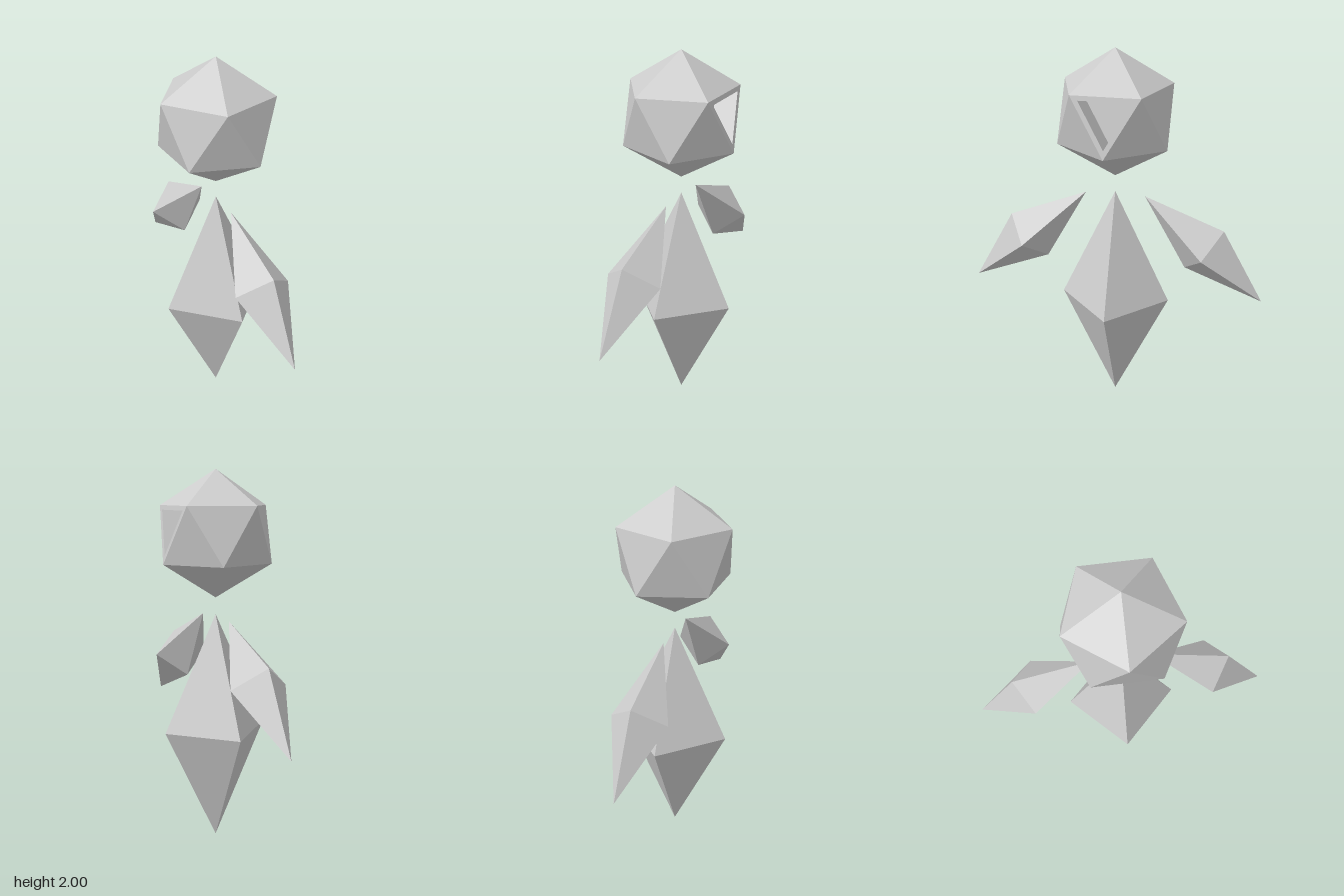
import * as THREE from 'three';

const material = new THREE.MeshStandardMaterial({ color: 0xcccccc, flatShading: true });

function addMesh(parent, name, geometry) {
  const mesh = new THREE.Mesh(geometry, material);
  mesh.name = name;
  parent.add(mesh);
  return mesh;
}

// Stretched octahedron: four-sided double pyramid
function crystal(width, height) {
  return new THREE.OctahedronGeometry(1).scale(width, height, width);
}

// Icosahedron standing on a point, with a triangular pocket in its +x face
function headGeometry(radius, inset, depth) {
  const y = radius / Math.sqrt(5);
  const ring = (height, start) => Array.from({ length: 5 }, (_, i) => {
    const a = start + (i * Math.PI * 2) / 5;
    return new THREE.Vector3(2 * y * Math.cos(a), height, 2 * y * Math.sin(a));
  });
  const upper = ring(y, Math.PI / 5);
  const lower = ring(-y, 0);
  const top = new THREE.Vector3(0, radius, 0);
  const bottom = new THREE.Vector3(0, -radius, 0);
  const points = [];
  const tri = (...corners) => points.push(...corners);
  const band = (outer, inner) => outer.forEach((p, i) => {
    const j = (i + 1) % outer.length;
    tri(p, outer[j], inner[j]);
    tri(p, inner[j], inner[i]);
  });

  for (let i = 0; i < 5; i++) {
    const j = (i + 1) % 5;
    const h = (i + 4) % 5;
    tri(top, upper[j], upper[i]);
    tri(upper[i], lower[j], lower[i]);
    tri(bottom, lower[i], lower[j]);
    if (i > 0) tri(upper[i], lower[i], upper[h]);
  }

  // Pocket: frame, walls and floor
  const face = [upper[0], lower[0], upper[4]];
  const center = new THREE.Vector3().add(face[0]).add(face[1]).add(face[2]).divideScalar(3);
  const rim = face.map((p) => center.clone().lerp(p, inset));
  const floor = rim.map((p) => p.clone().setX(p.x - depth));
  band(face, rim);
  band(rim, floor);
  tri(...floor);

  const geometry = new THREE.BufferGeometry().setFromPoints(points);
  geometry.computeVertexNormals();
  return geometry;
}

export function createModel() {
  const model = new THREE.Group();
  model.name = 'floatingCrystalFigure';

  addMesh(model, 'head', headGeometry(0.33, 0.765, 0.12)).position.y = 1.67;
  addMesh(model, 'body', crystal(0.295, 0.623)).position.y = 0.628;

  // Arms slant outwards and down, in front and behind
  for (const side of [1, -1]) {
    const arm = addMesh(model, side > 0 ? 'frontArm' : 'backArm', crystal(0.152, 0.4235));
    arm.position.set(0, 0.957, side * 0.478);
    arm.rotation.x = -side * 0.856;
  }
  return model;
}
